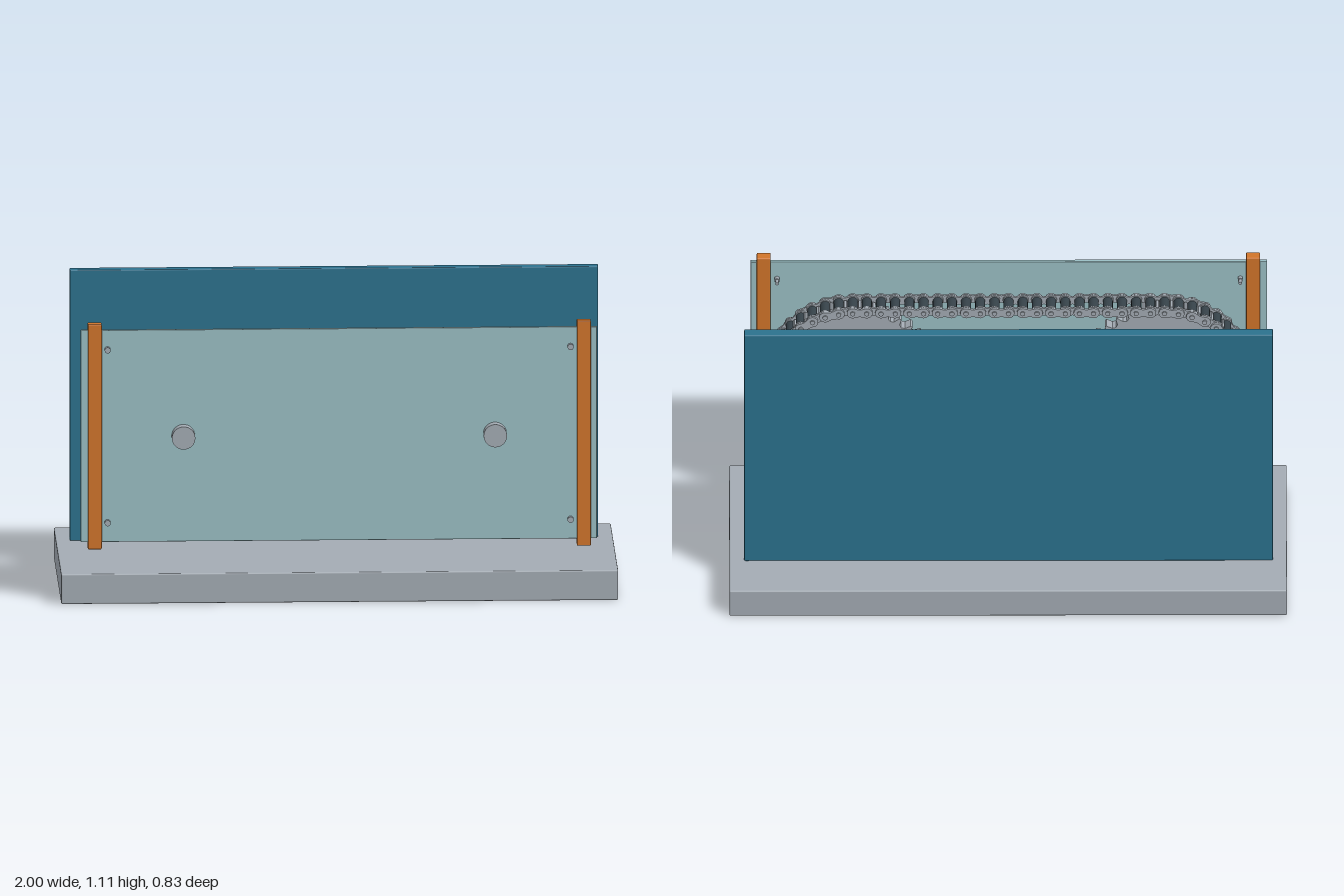
import * as THREE from 'three';
import { RoundedBoxGeometry } from 'three/addons/geometries/RoundedBoxGeometry.js';

const material = (name, color) => {
  const m = new THREE.MeshStandardMaterial({ color });
  m.name = name;
  return m;
};

export function createModel() {
  const steel = material('steel grey', 0xa3abb3);
  const dark = material('dark iron', 0x364249);
  const blue = material('panel blue', 0x2b718d);
  const glass = material('pale teal', 0x9abfc4);
  const orange = material('orange', 0xd0742a);

  const model = new THREE.Group();
  model.name = 'chainDrive';

  const add = (name, geometry, mat, x, y, z, parent = model) => {
    const mesh = new THREE.Mesh(geometry, mat);
    mesh.name = name;
    mesh.position.set(x, y, z);
    parent.add(mesh);
    return mesh;
  };
  // Box given by its limits on each axis
  const box = (name, mat, [x0, x1], [y0, y1], [z0, z1], r = 0.004) =>
    add(name, new RoundedBoxGeometry(x1 - x0, y1 - y0, z1 - z0, 2, r), mat,
      (x0 + x1) / 2, (y0 + y1) / 2, (z0 + z1) / 2);
  // Cylinder lying along z
  const rod = (name, mat, r, x, y, z0, z1, sides = 32) =>
    add(name, new THREE.CylinderGeometry(r, r, z1 - z0, sides).rotateX(Math.PI / 2), mat,
      x, y, (z0 + z1) / 2);

  const axisY = 0.618, chainZ = 0.232, centres = [-0.562, 0.557];

  // Base, rear panel and front cover
  box('base', steel, [-1, 1], [0, 0.11], [-0.413, 0.365], 0.005);
  box('rearPanel', blue, [-0.95, 0.947], [0.11, 1.105], [-0.228, -0.187]);
  box('frontCover', glass, [-0.93, 0.923], [0.23, 1.008], [0.361, 0.375], 0.002);

  // Upright rails and cover screws at both ends
  for (const s of [-1, 1]) {
    const x = s * 0.878 - 0.002;
    box('coverRail', orange, [x - 0.025, x + 0.025], [0.205, 1.032], [0.349, 0.387]);
    for (const y of [0.302, 0.937]) {
      const sx = s * 0.831 - 0.003;
      rod('screwShank', steel, 0.006, sx, y, 0.325, 0.385, 12);
      rod('screwHead', steel, 0.011, sx, y, 0.375, 0.392, 16);
      rod('screwNut', steel, 0.01, sx, y, 0.345, 0.36, 6);
    }
  }

  // Sprocket outline: a valley under each roller, a tooth between
  const pitchR = 0.289, teeth = 36;
  const outline = [];
  for (let i = 0; i < teeth; i++) {
    [[0, -0.018], [0.25, -0.012], [0.42, 0.01], [0.58, 0.01], [0.75, -0.012]].forEach(([f, d]) => {
      const a = (i + f) / teeth * Math.PI * 2;
      outline.push(new THREE.Vector2(Math.cos(a) * (pitchR + d), Math.sin(a) * (pitchR + d)));
    });
  }
  const sprocketGeo = new THREE.ExtrudeGeometry(new THREE.Shape(outline), { depth: 0.044, bevelEnabled: false })
    .translate(0, 0, -0.022);

  // Gearbox, collar, shaft and sprocket on each axis
  for (const x of centres) {
    box('gearbox', dark, [x - 0.132, x + 0.132], [0.486, 0.752], [-0.15, 0.006]);
    rod('collar', steel, 0.1, x, axisY + 0.001, 0.006, 0.064, 48);
    rod('shaft', steel, 0.042, x, axisY, 0.0, 0.416);
    rod('hub', dark, 0.087, x, axisY, 0.179, 0.287, 40);
    add('sprocket', sprocketGeo, steel, x, axisY, chainZ);
    const setScrew = add('setScrew', new THREE.CylinderGeometry(0.01, 0.01, 0.04, 12), steel,
      x - 0.073, axisY - 0.073, 0.018);
    setScrew.rotation.z = -Math.PI / 4;
  }

  // Threaded rod with nut on the side of one gearbox
  const sideBolt = (name, r, x0, x1, sides) =>
    add(name, new THREE.CylinderGeometry(r, r, x1 - x0, sides).rotateZ(Math.PI / 2), steel,
      (x0 + x1) / 2, axisY, -0.057);
  sideBolt('adjusterRod', 0.013, 0.685, 0.925, 16);
  sideBolt('adjusterNut', 0.027, 0.824, 0.844, 6);

  // Chain joints: straight runs and half circles in equal steps
  const [left, right] = centres, run = 22, half = teeth / 2, joints = [];
  for (let i = 0; i < run; i++)
    joints.push([right + (left - right) * i / run, axisY + pitchR]);
  for (let i = 0; i < half; i++) {
    const a = Math.PI / 2 + Math.PI * i / half;
    joints.push([left + Math.cos(a) * pitchR, axisY + Math.sin(a) * pitchR]);
  }
  for (let i = 0; i < run; i++)
    joints.push([left + (right - left) * i / run, axisY - pitchR]);
  for (let i = 0; i < half; i++) {
    const a = -Math.PI / 2 + Math.PI * i / half;
    joints.push([right + Math.cos(a) * pitchR, axisY + Math.sin(a) * pitchR]);
  }

  // Waisted link plate reaching from one joint to the next
  const h = 0.0253, r = 0.021;
  const link = new THREE.Shape();
  link.absarc(h, 0, r, -2.1, 2.1, false);
  link.lineTo(0, 0.015);
  link.absarc(-h, 0, r, Math.PI - 2.1, Math.PI + 2.1, false);
  link.lineTo(0, -0.015);
  const linkGeo = new THREE.ExtrudeGeometry(link, { depth: 0.008, bevelEnabled: false, curveSegments: 8 })
    .translate(0, 0, -0.004);
  const rollerGeo = new THREE.CylinderGeometry(0.018, 0.018, 0.056, 16).rotateX(Math.PI / 2);
  const pinGeo = new THREE.CylinderGeometry(0.009, 0.009, 0.106, 10).rotateX(Math.PI / 2);

  const chain = new THREE.Group();
  chain.name = 'chain';
  model.add(chain);
  joints.forEach(([x, y], i) => {
    const [nx, ny] = joints[(i + 1) % joints.length];
    add('roller', rollerGeo, dark, x, y, chainZ, chain);
    add('pin', pinGeo, steel, x, y, chainZ, chain);
    // Inner and outer plates alternate
    const offset = i % 2 ? 0.034 : 0.044;
    for (const s of [-1, 1]) {
      const plate = add('linkPlate', linkGeo, steel, (x + nx) / 2, (y + ny) / 2, chainZ + s * offset, chain);
      plate.rotation.z = Math.atan2(ny - y, nx - x);
    }
  });

  return model;
}
